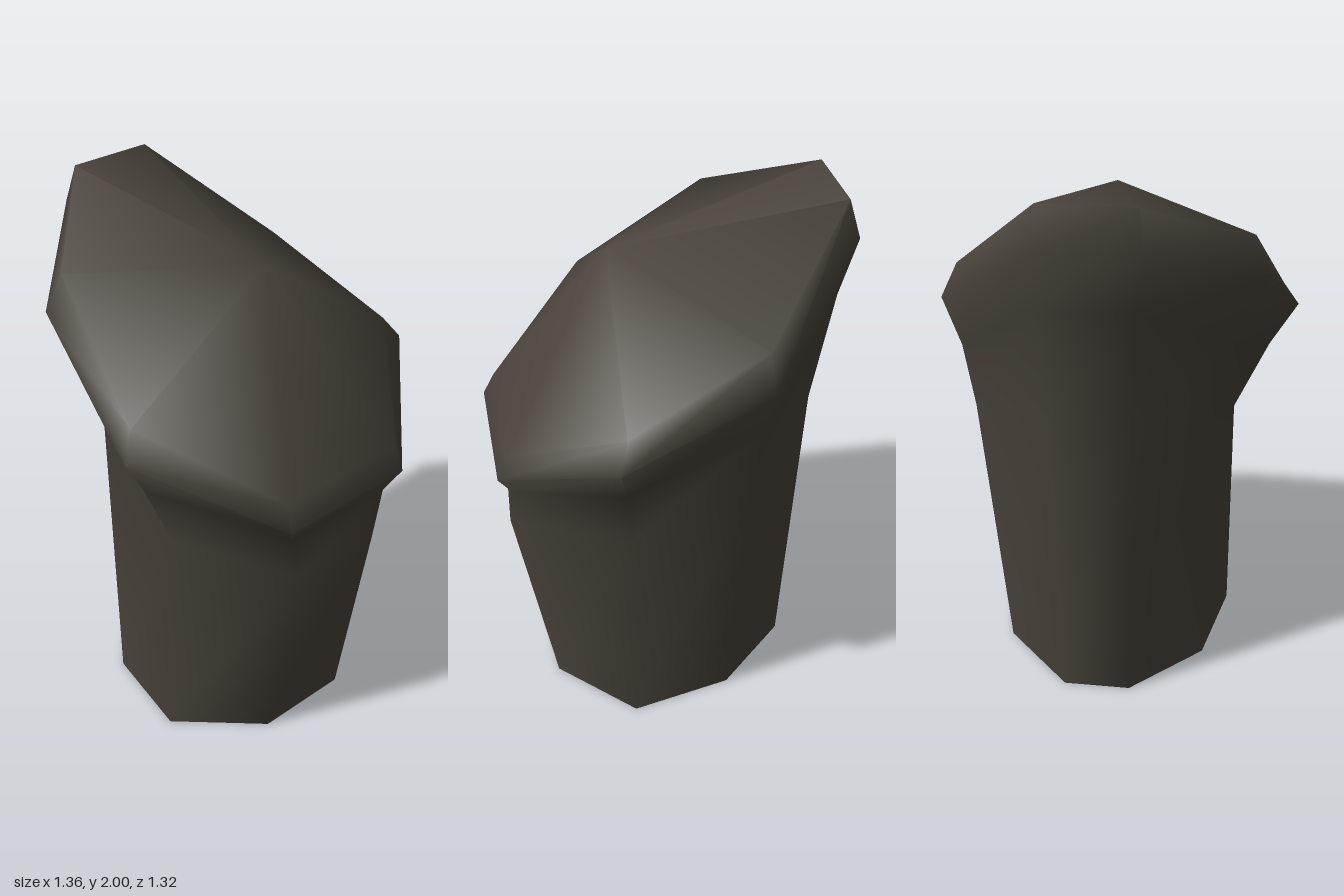
import * as THREE from 'three';
import { toCreasedNormals } from 'three/addons/utils/BufferGeometryUtils.js';

// Eight-sided stump: rings are lofted from the open base up to a slanted, domed cut.
export function createModel() {
  const bark = new THREE.MeshStandardMaterial({ color: 0x48423a, side: THREE.DoubleSide });
  bark.name = 'darkBark';

  // Each ring runs from the left side through the front, right and back
  const rings = [
    // open base
    [[0.465, 0, 0.185], [0.195, 0, 0.465], [-0.185, 0, 0.47], [-0.465, 0, 0.205],
      [-0.4, 0, -0.185], [-0.145, 0, -0.46], [0.105, 0, -0.47], [0.375, 0, -0.2]],
    // top of the shaft
    [[0.5, 0.91, 0.19], [0.19, 0.81, 0.61], [-0.17, 0.81, 0.6], [-0.455, 0.9, 0.24],
      [-0.415, 1.17, -0.2], [-0.16, 1.2, -0.53], [0.13, 1.2, -0.53], [0.465, 1.08, -0.25]],
    // underside of the flare
    [[0.59, 1.18, 0.22], [0.25, 0.99, 0.595], [-0.22, 0.98, 0.59], [-0.58, 1.18, 0.25],
      [-0.475, 1.39, -0.23], [-0.18, 1.64, -0.6], [0.15, 1.64, -0.6], [0.5, 1.33, -0.27]],
    // widest rim
    [[0.68, 1.34, 0.25], [0.29, 1.08, 0.645], [-0.28, 1.08, 0.66], [-0.68, 1.34, 0.28],
      [-0.59, 1.67, -0.26], [-0.21, 1.86, -0.65], [0.16, 1.86, -0.66], [0.56, 1.52, -0.29]],
    // edge of the slanted cut
    [[0.61, 1.43, 0.22], [0.28, 1.17, 0.61], [-0.26, 1.17, 0.62], [-0.62, 1.44, 0.24],
      [-0.53, 1.8, -0.24], [-0.19, 2, -0.61], [0.14, 2, -0.62], [0.5, 1.65, -0.28]],
  ];

  const points = rings.flat();
  const apex = points.length;
  points.push([0.01, 1.82, 0.2]);

  const index = [];
  for (let r = 0; r < rings.length; r++) {
    for (let k = 0; k < 8; k++) {
      const a = r * 8 + k;
      const b = r * 8 + ((k + 1) % 8);
      if (r < rings.length - 1) index.push(b, a, a + 8, b, a + 8, b + 8);
      else index.push(apex, b, a); // domed cut face
    }
  }

  const geometry = new THREE.BufferGeometry();
  geometry.setAttribute('position', new THREE.Float32BufferAttribute(points.flat(), 3));
  geometry.setIndex(index);

  // Smooth bark, with a sharp edge only along the back of the cut
  const stump = new THREE.Mesh(toCreasedNormals(geometry, THREE.MathUtils.degToRad(75)), bark);
  stump.name = 'stump';
  const group = new THREE.Group();
  group.name = 'slantedStump';
  group.add(stump);
  return group;
}
